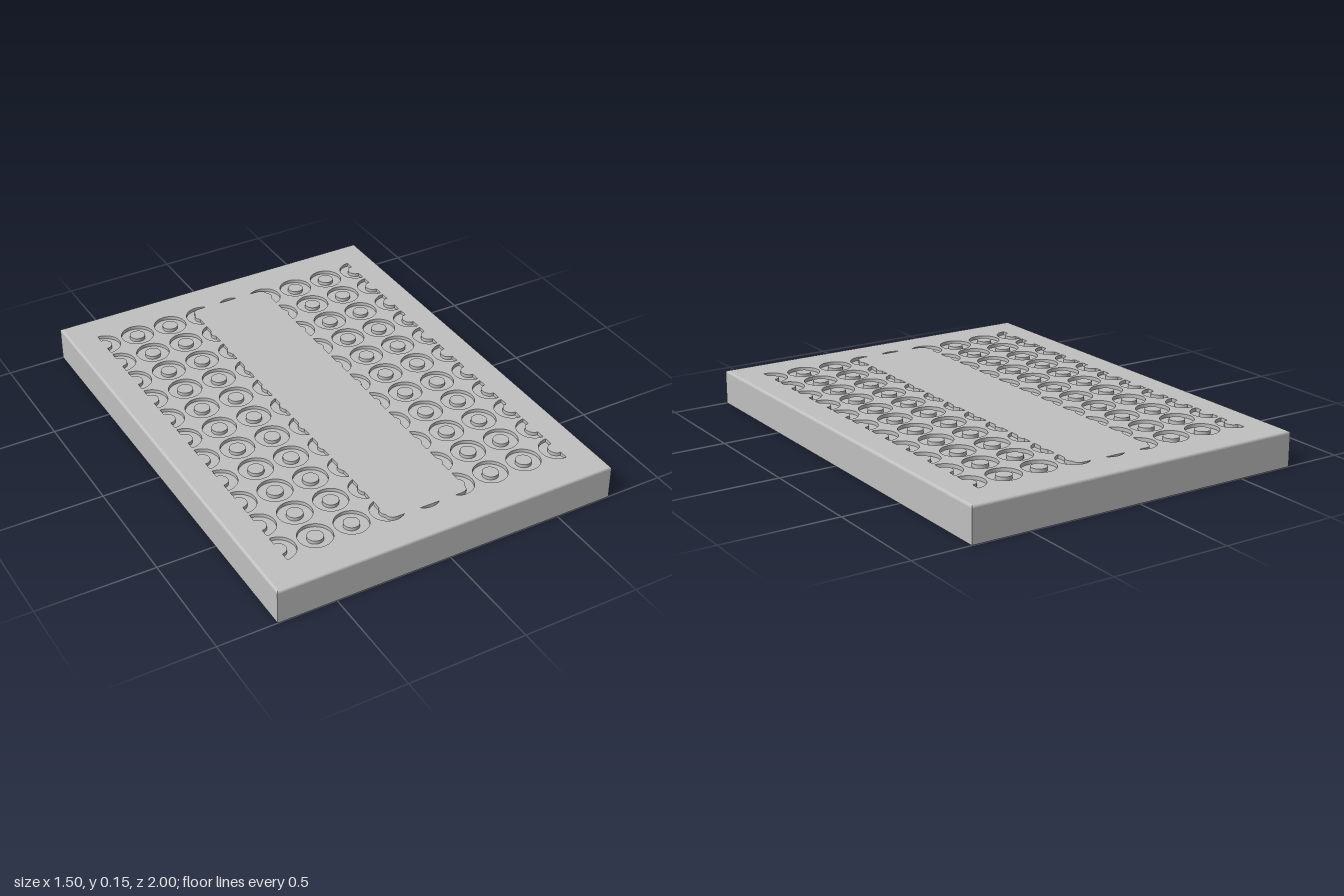
import * as THREE from 'three';

const W = 0.75, L = 1, H = 0.15;          // half width, half length, height
const CEIL = 0.12, DEPTH = 0.015;         // underside level, groove depth
const PITCH = 0.158, R = 0.07, r = 0.033; // ring grid

const rect = (w, l) => new THREE.Shape([[-w, -l], [w, -l], [w, l], [-w, l]].map(p => new THREE.Vector2(...p)));

const circle = (cx, cy, rad) => new THREE.Shape().absarc(cx, cy, rad, 0, Math.PI * 2, false);

// Part of a ring lying further than d from its centre, towards the angle dir
function clippedRing(cx, cy, dir, d) {
  const a = Math.acos(d / R), p = new THREE.Path();
  p.absarc(cx, cy, R, dir - a, dir + a, false);
  if (d < r) {
    const b = Math.acos(d / r);
    p.absarc(cx, cy, r, dir + b, dir - b, true);
  }
  p.closePath();
  return p;
}

// Crescent that wraps a corner of the plain centre panel
function cornerRing(sx, sy) {
  const pts = [], cx = sx * PITCH, cy = sy * PITCH * 5, dx = 0.022, dy = 0.055;
  const from = -Math.acos(dx / R), to = Math.PI - Math.asin(dy / R);
  for (let i = 0; i <= 24; i++) {
    const t = from + (to - from) * i / 24;
    pts.push([R * Math.cos(t), R * Math.sin(t)]);
  }
  const b = Math.acos(dx / r);
  for (let i = 0; i <= 6; i++) {           // rounded panel corner
    const t = i / 6, u = 1 - t;
    pts.push([u * u * -0.012 + 2 * u * t * dx + t * t * dx, u * u * dy + 2 * u * t * dy + t * t * r * Math.sin(b)]);
  }
  for (let i = 1; i <= 6; i++) {           // notch left by the ring's centre
    const t = b - 2 * b * i / 6;
    pts.push([r * Math.cos(t), r * Math.sin(t)]);
  }
  return new THREE.Path(pts.map(([x, y]) => new THREE.Vector2(cx + sx * x, cy + sy * y)));
}

// Rectangular loops following a wall profile of [inset, height]
function shellGeometry(profile) {
  const pos = [];
  const corner = ([o, y], k) => {
    const [sx, sz] = [[-1, 1], [1, 1], [1, -1], [-1, -1]][k % 4];
    return [sx * (W - o), y, sz * (L - o)];
  };
  for (let i = 0; i < profile.length - 1; i++) {
    for (let k = 0; k < 4; k++) {
      const a = corner(profile[i], k), b = corner(profile[i], k + 1);
      const c = corner(profile[i + 1], k + 1), d = corner(profile[i + 1], k);
      pos.push(...a, ...d, ...c, ...a, ...c, ...b);
    }
  }
  const g = new THREE.BufferGeometry();
  g.setAttribute('position', new THREE.Float32BufferAttribute(pos, 3));
  g.computeVertexNormals();
  return g;
}

// Lay a flat shape down and give it thickness from y upward
function slab(shapes, y, depth) {
  const g = new THREE.ExtrudeGeometry(shapes, { depth, bevelEnabled: false, curveSegments: 20 });
  return g.rotateX(-Math.PI / 2).translate(0, y, 0);
}

export function createModel() {
  const group = new THREE.Group();
  const grey = new THREE.MeshStandardMaterial({ color: 0xc0c0c0 });
  grey.name = 'plain grey';
  const add = (name, geometry) => {
    const m = new THREE.Mesh(geometry, grey);
    m.name = name;
    group.add(m);
    return m;
  };

  // Outer walls with softened top edge, bottom rim and inner walls
  add('sideWalls', shellGeometry([[0.01, H], [0.006, 0.149], [0.003, 0.147], [0.001, 0.144], [0, 0.14],
    [0, 0], [0.018, 0], [0.018, CEIL]]));

  // Top plate with ring grooves
  const top = rect(W - 0.01, L - 0.01), islands = [];
  for (let row = -5; row <= 5; row++) {
    const y = row * PITCH;
    for (const s of [-1, 1]) {
      const out = s > 0 ? 0 : Math.PI;
      for (const col of [2, 3]) {
        top.holes.push(circle(s * col * PITCH, y, R));
        islands.push(circle(s * col * PITCH, y, r));
      }
      top.holes.push(clippedRing(s * 4 * PITCH, y, Math.PI - out, 0));
      if (Math.abs(row) < 5) top.holes.push(clippedRing(s * PITCH, y, out, 0.022));
      else top.holes.push(cornerRing(s, Math.sign(row)));
    }
  }
  for (const s of [-1, 1]) top.holes.push(clippedRing(0, s * 5 * PITCH, s * Math.PI / 2, 0.055));
  add('topPlate', slab(top, H - DEPTH, DEPTH));
  add('ringCentres', slab(islands, H - DEPTH, DEPTH));

  // Groove floor
  add('middlePlate', slab(rect(W - 0.012, L - 0.012), CEIL + 0.012, H - DEPTH - CEIL - 0.012));

  // Underside plate with two staggered rows of hexagonal pockets
  const under = rect(W - 0.012, L - 0.012), step = 0.188, rad = 0.095;
  const hexagon = (cx, cy) => {
    const pts = [];
    for (let k = 0; k < 6; k++) {
      const t = k * Math.PI / 3;
      const y = cy + rad * Math.sin(t);
      pts.push(new THREE.Vector2(cx + rad * Math.cos(t), THREE.MathUtils.clamp(y, -0.845, 0.845)));
    }
    return new THREE.Path(pts);
  };
  for (let i = -4; i <= 4; i++) under.holes.push(hexagon(0.083, i * step));
  for (let i = -4; i < 4; i++) under.holes.push(hexagon(-0.083, (i + 0.5) * step));
  add('undersidePlate', slab(under, CEIL, 0.012));

  // Small catches on the inner side walls
  for (const s of [-1, 1]) {
    for (const z of [-0.7, 0, 0.7]) {
      const bump = add('wallCatch', new THREE.SphereGeometry(0.015, 16, 10));
      bump.position.set(s * (W - 0.018), 0.06, z);
      bump.scale.x = 0.6;
    }
  }
  return group;
}
